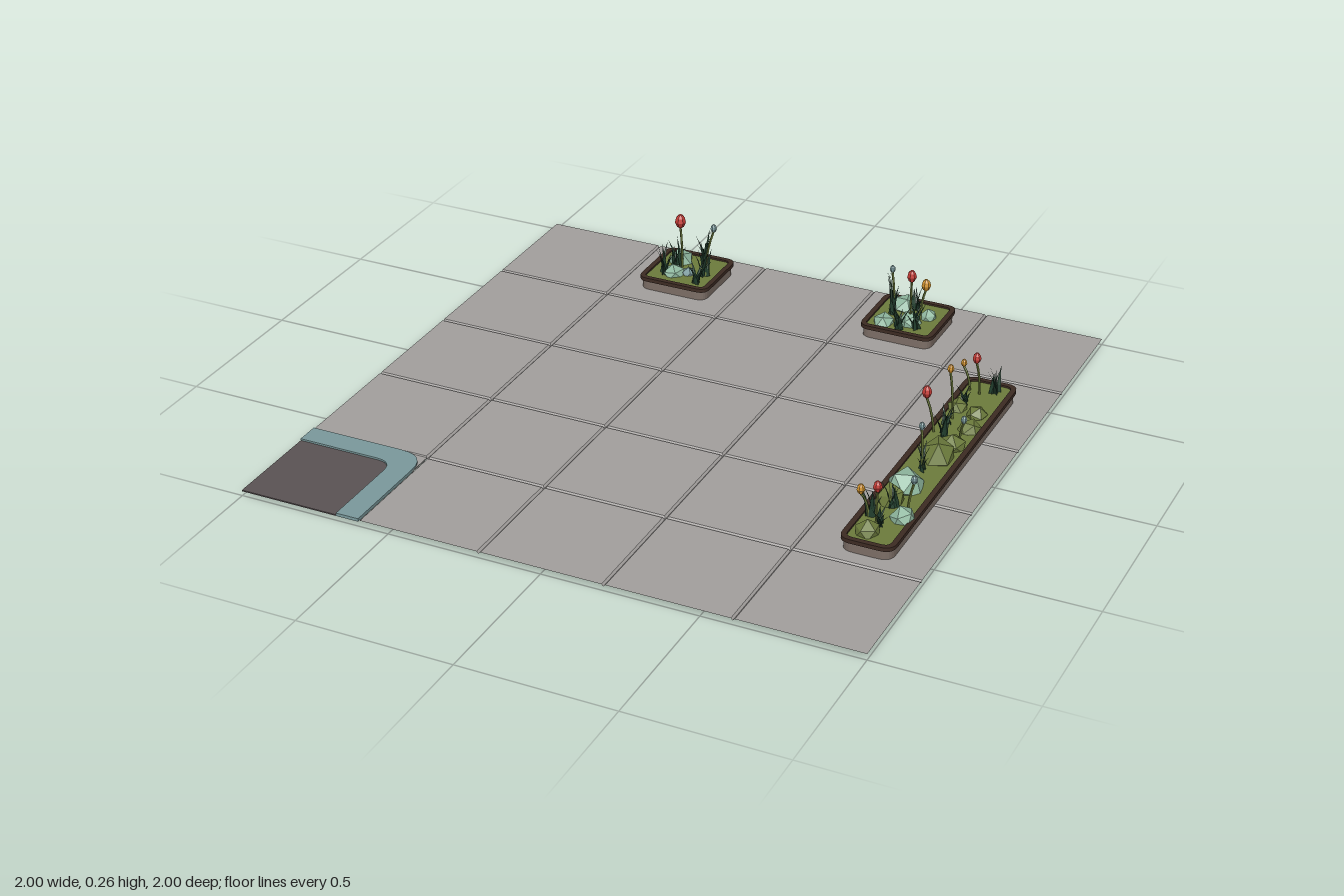
import * as THREE from 'three';

const mat = (name, color, opts = {}) => {
  const m = new THREE.MeshStandardMaterial({ color, ...opts });
  m.name = name;
  return m;
};
const DS = { side: THREE.DoubleSide, flatShading: true };
const M = {
  paving: mat('paving grey', 0xa3a09e, DS),
  road: mat('asphalt', 0x5b5354, DS),
  curb: mat('blue grey', 0x7b9a9d, DS),
  rim: mat('dark wood', 0x3d2b23, DS),
  wall: mat('brown stone', 0x7d6f67, DS),
  grass: mat('grass green', 0x6d7c3d, DS),
  leaf: mat('dark leaf green', 0x23402f, DS),
  pale: mat('pale leaf green', 0x90b8a0, DS),
  red: mat('petal red', 0xc63c36, DS),
  yellow: mat('petal yellow', 0xd0922c, DS),
};

// Seeded random numbers
let seed = 7;
const rnd = () => (seed = (seed * 16807) % 2147483647) / 2147483647;

function add(parent, name, geo, material, x = 0, y = 0, z = 0) {
  const m = new THREE.Mesh(geo, material);
  m.name = name;
  m.position.set(x, y, z);
  parent.add(m);
  return m;
}

// Flat shape in plan, pulled upward
function slab(shape, h) {
  return new THREE.ExtrudeGeometry(shape, { depth: h, bevelEnabled: false, curveSegments: 6 })
    .rotateX(-Math.PI / 2);
}

function roundRect(w, d, r, Type = THREE.Shape) {
  const s = new Type(), a = w / 2, b = d / 2;
  s.moveTo(-a + r, -b);
  s.lineTo(a - r, -b); s.quadraticCurveTo(a, -b, a, -b + r);
  s.lineTo(a, b - r); s.quadraticCurveTo(a, b, a - r, b);
  s.lineTo(-a + r, b); s.quadraticCurveTo(-a, b, -a, b - r);
  s.lineTo(-a, -b + r); s.quadraticCurveTo(-a, -b, -a + r, -b);
  return s;
}

function ring(w, d, r, t) {
  const s = roundRect(w, d, r);
  s.holes.push(roundRect(w - 2 * t, d - 2 * t, Math.max(r - t, 0.008), THREE.Path));
  return s;
}

// Paving sheet with V-shaped joints, leaving out the road corner
function pavingGeometry() {
  const c = [-1], low = new Set();
  for (const j of [-0.6, -0.2, 0.2, 0.6]) {
    c.push(j - 0.006, j, j + 0.006);
    low.add(j);
  }
  c.push(1);
  const pos = [];
  const v = (x, z) => [x, low.has(x) || low.has(z) ? 0.014 : 0.02, z];
  for (let i = 0; i < c.length - 1; i++) {
    for (let k = 0; k < c.length - 1; k++) {
      if (c[i] < -0.6 && c[k] >= 0.6) continue;
      const a = v(c[i], c[k]), b = v(c[i], c[k + 1]);
      const d = v(c[i + 1], c[k + 1]), e = v(c[i + 1], c[k]);
      pos.push(...a, ...b, ...d, ...a, ...d, ...e);
    }
  }
  const g = new THREE.BufferGeometry();
  g.setAttribute('position', new THREE.Float32BufferAttribute(pos, 3));
  g.computeVertexNormals();
  return g;
}

// Road corner with its rounded curb
function roadCorner() {
  const g = new THREE.Group();
  g.name = 'roadCorner';
  const curb = new THREE.Shape();
  curb.moveTo(-1, -0.6); curb.lineTo(-0.69, -0.6);
  curb.quadraticCurveTo(-0.6, -0.6, -0.6, -0.69);
  curb.lineTo(-0.6, -1); curb.lineTo(-0.675, -1); curb.lineTo(-0.675, -0.73);
  curb.quadraticCurveTo(-0.675, -0.675, -0.73, -0.675);
  curb.lineTo(-1, -0.675);
  add(g, 'curb', slab(curb, 0.01), M.curb, 0, 0.015, 0);
  const road = new THREE.Shape();
  road.moveTo(-1, -0.675); road.lineTo(-0.73, -0.675);
  road.quadraticCurveTo(-0.675, -0.675, -0.675, -0.73);
  road.lineTo(-0.675, -1); road.lineTo(-1, -1);
  add(g, 'road', slab(road, 0.004), M.road, 0, 0.015, 0);
  const fill = new THREE.Shape();
  fill.moveTo(-0.69, -0.6); fill.quadraticCurveTo(-0.6, -0.6, -0.6, -0.69);
  fill.lineTo(-0.6, -0.6);
  add(g, 'cornerPaving', slab(fill, 0.003), M.paving, 0, 0.016, 0);
  return g;
}

// Planter box: wall, overhanging rim, grass, optional floor
function planter(name, x, z, w, d, r, floor) {
  const g = new THREE.Group();
  g.name = name;
  add(g, 'wall', slab(ring(w - 0.012, d - 0.012, r, 0.012), 0.034), M.wall, x, 0.0185, z);
  add(g, 'rim', slab(ring(w, d, r, 0.017), 0.013), M.rim, x, 0.051, z);
  add(g, 'grass', slab(roundRect(w - 0.03, d - 0.03, r * 0.8), 0.006), M.grass, x, 0.052, z);
  if (floor) add(g, 'floor', slab(roundRect(w - 0.015, d - 0.015, r), 0.002), M.rim, x, 0.0165, z);
  return g;
}

// Faceted bush, flattened below
function bush(g, material, x, z, r, top) {
  const geo = new THREE.IcosahedronGeometry(1, 0);
  geo.rotateX(rnd() * 3).rotateY(rnd() * 6);
  const p = geo.attributes.position;
  for (let i = 0; i < p.count; i++) p.setY(i, Math.max(p.getY(i), -0.1));
  geo.scale(r, top - 0.055, r * 1.1);
  add(g, 'bush', geo, material, x, 0.055, z);
}

// Clump of curved pointed blades
function clump(g, x, z, h, n = 7, spread = 0.035) {
  for (let i = 0; i < n; i++) {
    const len = h * (0.5 + 0.5 * rnd()), lean = spread * (0.4 + 0.9 * rnd());
    const geo = new THREE.ConeGeometry(0.009, len, 4, 3).translate(0, len / 2, 0);
    geo.scale(0.35, 1, 1.2);
    const p = geo.attributes.position;
    for (let k = 0; k < p.count; k++) {
      const t = p.getY(k) / len;
      p.setX(k, p.getX(k) + lean * t * t);
    }
    geo.computeVertexNormals();
    const b = add(g, 'blade', geo, M.leaf, x + (rnd() - 0.5) * 0.02, 0.052, z + (rnd() - 0.5) * 0.02);
    b.rotation.y = (i / n) * Math.PI * 2 + rnd();
  }
}

// Bud on a curved stem
const budProfile = [[0, 0], [0.6, 0.15], [1, 0.5], [0.8, 0.8], [0.3, 1], [0, 1]];
function flower(g, material, x, z, top, r, bx = x, bz = z, base = 0.05) {
  const h = r * 2.7;
  const path = new THREE.QuadraticBezierCurve3(
    new THREE.Vector3(bx, base, bz),
    new THREE.Vector3(bx, (base + top) / 2, bz),
    new THREE.Vector3(x, top - h * 0.9, z));
  add(g, 'stem', new THREE.TubeGeometry(path, 5, 0.004, 5), M.grass);
  const geo = new THREE.LatheGeometry(budProfile.map(([a, b]) => new THREE.Vector2(a * r, b * h)), 7);
  add(g, 'bud', geo, material, x, top - h, z);
}

export function createModel() {
  const model = new THREE.Group();
  add(model, 'paving', pavingGeometry(), M.paving);
  model.add(roadCorner());

  // Right rear square planter
  const a = planter('rightSquarePlanter', -0.4, -0.805, 0.25, 0.25, 0.035, true);
  bush(a, M.pale, -0.45, -0.86, 0.045, 0.10);
  bush(a, M.pale, -0.43, -0.765, 0.04, 0.09);
  bush(a, M.curb, -0.385, -0.785, 0.026, 0.08);
  for (const [x, z, h] of [[-0.46, -0.75, 0.13], [-0.33, -0.79, 0.14], [-0.37, -0.87, 0.14], [-0.44, -0.81, 0.12], [-0.33, -0.73, 0.09]])
    clump(a, x, z, h);
  flower(a, M.red, -0.437, -0.83, 0.245, 0.019, -0.425, -0.82);
  flower(a, M.curb, -0.30, -0.80, 0.25, 0.011, -0.325, -0.79);

  // Left rear square planter
  const b = planter('leftSquarePlanter', 0.4, -0.805, 0.25, 0.25, 0.035, true);
  bush(b, M.pale, 0.36, -0.87, 0.045, 0.10);
  bush(b, M.pale, 0.34, -0.74, 0.038, 0.09);
  bush(b, M.pale, 0.42, -0.77, 0.04, 0.10);
  bush(b, M.pale, 0.46, -0.83, 0.03, 0.09);
  for (const [x, z, h] of [[0.34, -0.81, 0.16], [0.40, -0.87, 0.11], [0.40, -0.72, 0.10], [0.45, -0.74, 0.11]])
    clump(b, x, z, h);
  flower(b, M.red, 0.425, -0.757, 0.255, 0.016, 0.42, -0.77);
  flower(b, M.yellow, 0.452, -0.82, 0.20, 0.016, 0.44, -0.81);
  flower(b, M.curb, 0.33, -0.83, 0.22, 0.010, 0.345, -0.82);

  // Long planter on the left side
  const c = planter('longPlanter', 0.805, 0.02, 0.17, 1.06, 0.04, false);
  for (const [x, z, r, h] of [
    [0.76, -0.31, 0.035, 0.09], [0.83, -0.29, 0.035, 0.09], [0.84, -0.20, 0.04, 0.09],
    [0.83, -0.08, 0.045, 0.10], [0.815, 0.0, 0.055, 0.13], [0.78, 0.29, 0.045, 0.12], [0.785, 0.48, 0.04, 0.10],
  ]) bush(c, M.grass, x, z, r, h);
  bush(c, M.pale, 0.79, 0.20, 0.06, 0.12);
  bush(c, M.pale, 0.85, 0.37, 0.04, 0.10);
  for (const [x, z, h] of [
    [0.83, -0.45, 0.10], [0.77, -0.35, 0.07], [0.77, -0.20, 0.07], [0.78, -0.13, 0.11],
    [0.80, 0.09, 0.11], [0.80, 0.32, 0.10], [0.76, 0.39, 0.11], [0.80, 0.43, 0.09],
  ]) clump(c, x, z, h, 7, 0.03);
  flower(c, M.yellow, 0.73, -0.435, 0.16, 0.010, 0.755, -0.43);
  flower(c, M.red, 0.78, -0.41, 0.205, 0.014, 0.79, -0.42);
  flower(c, M.yellow, 0.755, -0.245, 0.24, 0.011, 0.77, -0.24);
  flower(c, M.red, 0.72, -0.14, 0.21, 0.016, 0.75, -0.14, 0);
  flower(c, M.curb, 0.86, -0.09, 0.165, 0.010, 0.845, -0.10);
  flower(c, M.curb, 0.79, 0.08, 0.215, 0.010, 0.80, 0.09);
  flower(c, M.curb, 0.86, 0.315, 0.175, 0.011, 0.84, 0.31, 0);
  flower(c, M.yellow, 0.735, 0.415, 0.17, 0.013, 0.755, 0.40);
  flower(c, M.red, 0.80, 0.45, 0.215, 0.014, 0.795, 0.44);

  model.add(a, b, c);
  return model;
}
